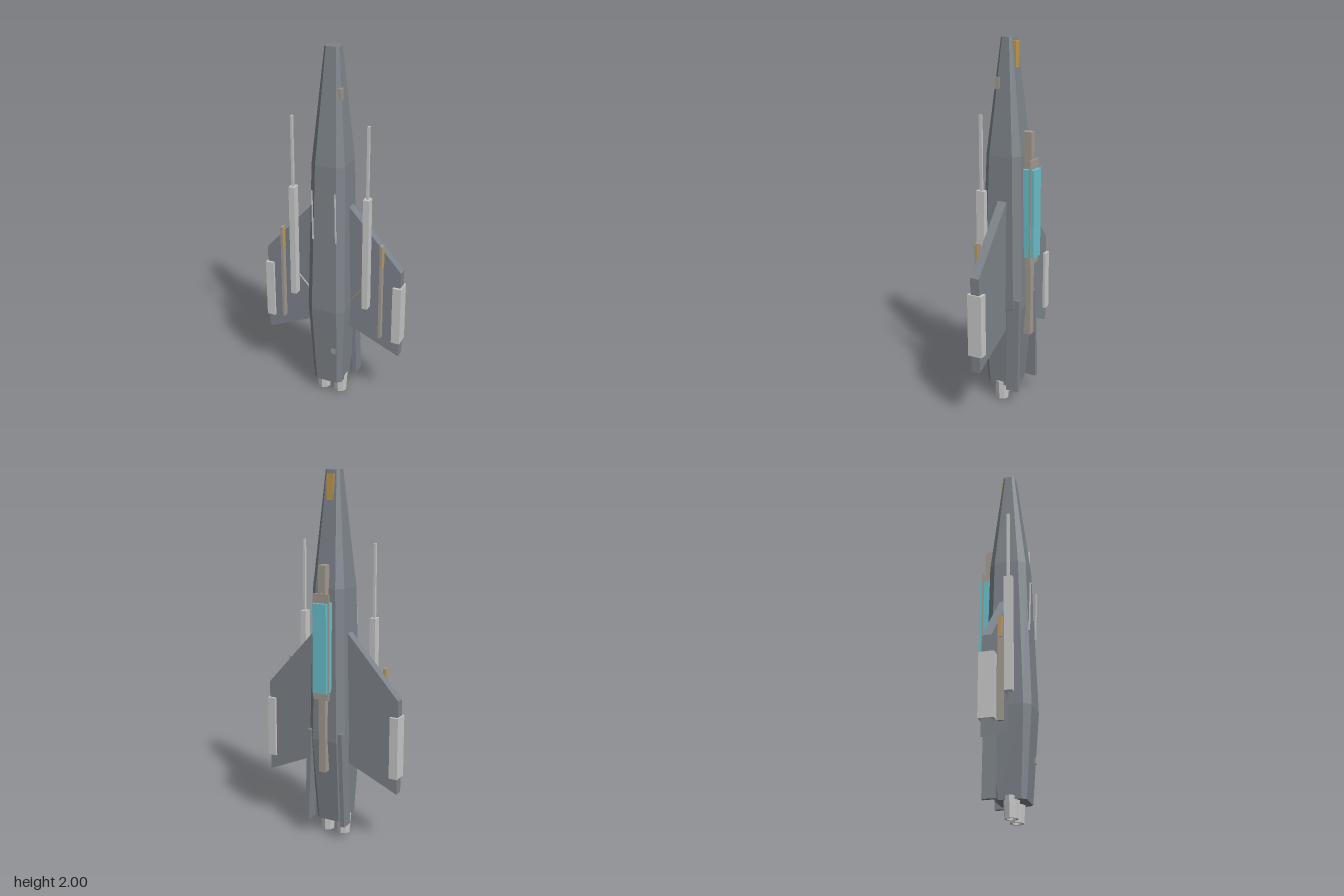
import * as THREE from 'three';

const mat = (name, color) => {
  const m = new THREE.MeshStandardMaterial({ color, flatShading: true, side: THREE.DoubleSide });
  m.name = name;
  return m;
};

// Joins rings of points (top to bottom, running from front to +x) into a closed solid
function loft(rings) {
  const pos = [], n = rings[0].length;
  const tri = (...pts) => pts.forEach(p => pos.push(...p));
  for (let r = 0; r < rings.length - 1; r++) {
    const t = rings[r], b = rings[r + 1];
    for (let i = 0; i < n; i++) {
      const j = (i + 1) % n;
      tri(b[i], b[j], t[j]);
      tri(b[i], t[j], t[i]);
    }
  }
  const top = rings[0], bottom = rings[rings.length - 1];
  for (let i = 1; i < n - 1; i++) {
    tri(top[0], top[i], top[i + 1]);
    tri(bottom[0], bottom[i + 1], bottom[i]);
  }
  const g = new THREE.BufferGeometry();
  g.setAttribute('position', new THREE.Float32BufferAttribute(pos, 3));
  g.computeVertexNormals();
  return g;
}

// Chamfered rectangle at height y: half width, front z, back z, chamfer
const octagon = (y, w, f, b, c) => [
  [w - c, y, f], [w, y, f - c], [w, y, b + c], [w - c, y, b],
  [c - w, y, b], [-w, y, b + c], [-w, y, f - c], [c - w, y, f]];

const rectangle = (y, x0, x1, z0, z1) => [[x0, y, z1], [x1, y, z1], [x1, y, z0], [x0, y, z0]];

export function createModel() {
  const hullGrey = mat('hullGrey', 0x7e848b);
  const lightGrey = mat('lightGrey', 0xc8c8c8);
  const tan = mat('tan', 0xa39c90);
  const teal = mat('teal', 0x6ac2ce);
  const gold = mat('gold', 0xc49a4e);

  const model = new THREE.Group();
  model.name = 'spacecraft';
  const add = (name, geo, material) => {
    const m = new THREE.Mesh(geo, material);
    m.name = name;
    model.add(m);
    return m;
  };
  // Box given by its limits
  const box = (name, material, x0, x1, y0, y1, z0, z1) => {
    const m = add(name, new THREE.BoxGeometry(Math.abs(x1 - x0), y1 - y0, z1 - z0), material);
    m.position.set((x0 + x1) / 2, (y0 + y1) / 2, (z0 + z1) / 2);
    return m;
  };

  // Fuselage, nose upward
  add('fuselage', loft([
    octagon(2.0, 0.04, 0.045, -0.018, 0.012),
    octagon(1.4, 0.093, 0.117, -0.085, 0.035),
    octagon(0.57, 0.108, 0.145, -0.1, 0.035),
    octagon(0.09, 0.083, 0.112, -0.05, 0.022),
  ]), hullGrey);

  // Dorsal spine, cockpit and its frame
  box('dorsalRail', tan, -0.02, 0.02, 0.4, 1.525, -0.125, -0.075);
  box('canopy', teal, -0.04, 0.04, 0.85, 1.33, -0.152, -0.085);
  box('canopyFrame', tan, -0.047, 0.047, 0.81, 1.38, -0.135, -0.127);

  // Nose and hull details
  box('nosePanel', gold, -0.02, 0.02, 1.84, 1.98, -0.035, -0.015);
  box('noseSensor', tan, 0.045, 0.064, 1.74, 1.8, 0.035, 0.065);
  box('bellyHatch', tan, 0.035, 0.062, 0.295, 0.325, 0.1, 0.131);

  for (const s of [1, -1]) {
    // Swept wing
    const outline = new THREE.Shape([[0.08, 1.18], [0.395, 0.83], [0.395, 0.31], [0.08, 0.45]]
      .map(([x, y]) => new THREE.Vector2(s * x, y)));
    add('wing', new THREE.ExtrudeGeometry(outline, { depth: 0.05, bevelEnabled: false }), hullGrey)
      .position.z = -0.02;
    box('wingTipPod', lightGrey, s * 0.355, s * 0.403, 0.4, 0.74, -0.035, 0.045);

    // Gun with barrel and strut
    box('gunBody', lightGrey, s * 0.195, s * 0.228, 0.6, 1.24, 0.04, 0.086);
    box('gunBarrel', lightGrey, s * 0.206, s * 0.218, 1.24, 1.63, 0.055, 0.071);
    const path = new THREE.LineCurve3(
      new THREE.Vector3(s * 0.1, 0.585, 0.026), new THREE.Vector3(s * 0.205, 0.72, 0.047));
    add('gunStrut', new THREE.TubeGeometry(path, 1, 0.006, 4), tan);

    // Missile under the wing
    box('missileBody', tan, s * 0.283, s * 0.297, 0.42, 0.98, 0.03, 0.061);
    add('missileCollar', new THREE.CylinderGeometry(0.014, 0.014, 0.11, 6), gold)
      .position.set(s * 0.29, 0.915, 0.045);

    // Tail fin, splayed outward
    const [a, b, c, d] = s > 0 ? [0.08, 0.105, 0.1, 0.124] : [-0.105, -0.08, -0.124, -0.1];
    add('tailFin', loft([
      rectangle(0.62, a, b, -0.1, -0.03),
      rectangle(0.09, c, d, -0.1, -0.03),
    ]), hullGrey);

    // Belly antenna blade
    const blade = box('bellyAntenna', lightGrey, s * 0.062, s * 0.068, 0.99, 1.27, 0.136, 0.143);
    blade.rotation.x = 0.035;

    // Engine nozzle with a hollow end
    const nozzle = [[0, 0.11], [0.044, 0.11], [0.036, 0], [0.025, 0], [0.022, 0.05], [0, 0.05]]
      .map(([x, y]) => new THREE.Vector2(x, y)).reverse();
    add('engineNozzle', new THREE.LatheGeometry(nozzle, 8), lightGrey)
      .position.set(s * 0.05, 0, 0.032);
  }
  return model;
}
